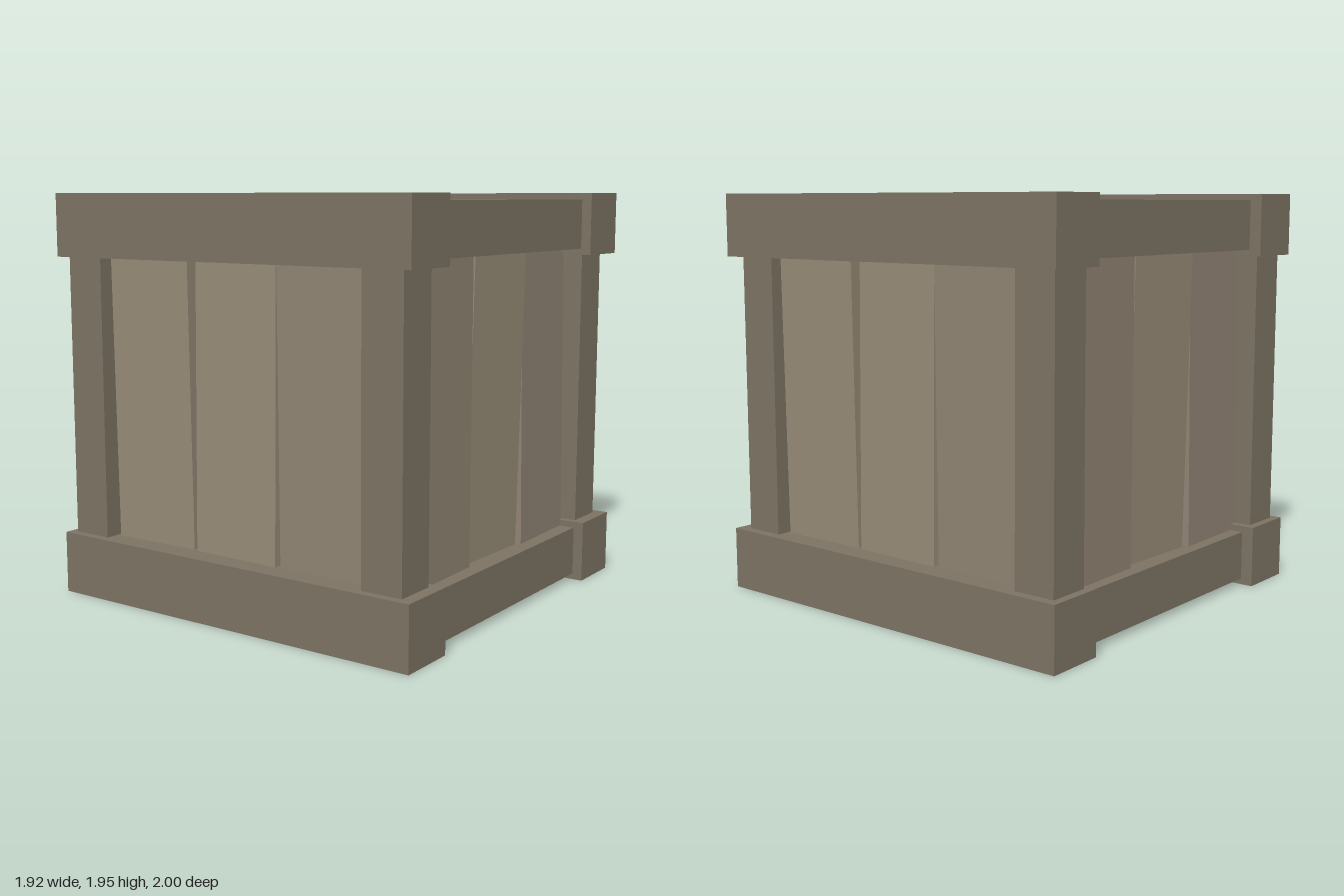
import * as THREE from 'three';

const material = (color) => new THREE.MeshStandardMaterial({ color, flatShading: true });

export function createModel() {
  const crate = new THREE.Group();
  crate.name = 'crate';
  const frame = material(0x7d7364);
  const woods = [material(0x918573), material(0x978b77), material(0x918475)];

  // box from its minimum and maximum corners
  const beam = (name, min, max) => {
    const size = max.map((v, i) => v - min[i]);
    const mesh = new THREE.Mesh(new THREE.BoxGeometry(...size), frame);
    mesh.position.set(...max.map((v, i) => (v + min[i]) / 2));
    mesh.name = name;
    crate.add(mesh);
  };

  // heavy rails running front to back, lighter rails between them
  for (const [level, y, cy] of [['bottom', 0, 0.03], ['top', 1.65, 1.68]]) {
    beam(level + 'RailLeft', [0.67, y, -1], [0.96, y + 0.3, 1]);
    beam(level + 'RailRight', [-0.96, y, -1], [-0.67, y + 0.3, 1]);
    beam(level + 'CrossRailFront', [-0.69, cy, 0.71], [0.69, cy + 0.24, 0.95]);
    beam(level + 'CrossRailBack', [-0.69, cy, -0.94], [0.69, cy + 0.24, -0.69]);
  }

  // corner posts
  for (const x of [-0.92, 0.705]) {
    for (const z of [-0.96, 0.735]) {
      beam('cornerPost', [x, 0.25, z], [x + 0.208, 1.7, z + 0.205]);
    }
  }

  // three slightly crooked planks: across = position and width along the panel,
  // out = distance of the outer face, roll and lean = small tilts
  const panel = (name, centers, width, length, planks, place) => {
    const group = new THREE.Group();
    group.name = name;
    planks.forEach(([out, roll, lean, wood], i) => {
      const plank = new THREE.Mesh(new THREE.BoxGeometry(width, length, 0.06), woods[wood]);
      plank.position.set(centers[i], 0, out - 0.03);
      plank.rotation.set(lean, roll, 0);
      plank.name = 'plank';
      group.add(plank);
    });
    place(group);
    crate.add(group);
  };

  const wall = [[0.88, 0.02, 0, 0], [0.865, -0.03, 0.02, 1], [0.865, 0.02, -0.015, 2]];
  const side = [[0.855, 0.02, 0.015, 1], [0.84, -0.02, -0.015, 1], [0.85, 0.02, 0.01, 0]];
  const lid = [[0.87, -0.09, 0.01, 0], [0.875, 0.1, 0.02, 1], [0.84, 0.1, -0.01, 0]];

  panel('frontPlanks', [-0.483, -0.01, 0.455], 0.45, 1.52, wall, (g) => g.position.set(0, 0.975, 0));
  panel('backPlanks', [-0.455, 0.01, 0.483], 0.45, 1.52, wall, (g) => {
    g.position.set(0, 0.975, 0);
    g.rotation.y = Math.PI;
  });
  panel('leftPlanks', [-0.485, 0.008, 0.5], 0.47, 1.5, side, (g) => {
    g.position.set(0, 0.975, 0);
    g.rotation.y = Math.PI / 2;
  });
  panel('rightPlanks', [-0.5, -0.008, 0.485], 0.47, 1.5, side, (g) => {
    g.position.set(0, 0.975, 0);
    g.rotation.y = -Math.PI / 2;
  });
  // lid and floor planks run left to right, listed from back to front
  panel('topPlanks', [-0.46, 0.005, 0.47], 0.44, 1.5, lid, (g) => {
    g.position.set(0, 0.995, 0);
    g.rotation.set(-Math.PI / 2, 0, -Math.PI / 2);
  });
  panel('bottomPlanks', [-0.47, -0.005, 0.46], 0.44, 1.5, lid, (g) => {
    g.position.set(0, 0.955, 0);
    g.rotation.set(Math.PI / 2, 0, Math.PI / 2);
  });

  return crate;
}
